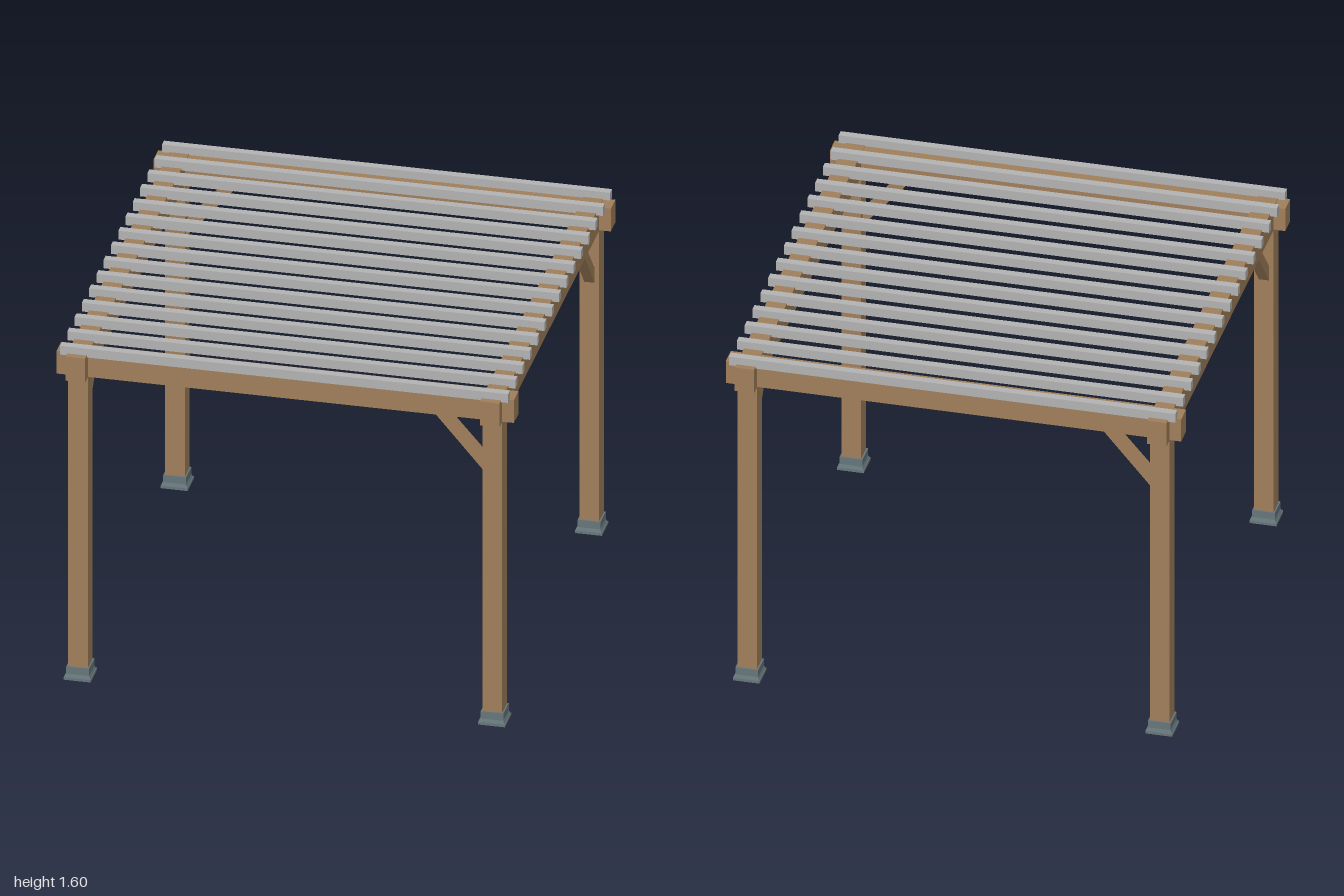
import * as THREE from 'three';

const POST = 0.906;      // post centre offset on x and z
const W = 0.086;         // timber width
const BEAM_Y = 1.458;    // underside of the beams

export function createModel() {
  const wood = new THREE.MeshStandardMaterial({ color: 0xa07f5a });
  wood.name = 'timber brown';
  const grey = new THREE.MeshStandardMaterial({ color: 0xb2b2b2 });
  grey.name = 'slat grey';
  const slate = new THREE.MeshStandardMaterial({ color: 0x66757a });
  slate.name = 'base slate';

  const model = new THREE.Group();
  model.name = 'pergola';

  const add = (parent, name, geometry, material, x = 0, y = 0, z = 0) => {
    const mesh = new THREE.Mesh(geometry, material);
    mesh.name = name;
    mesh.position.set(x, y, z);
    parent.add(mesh);
    return mesh;
  };
  const box = (parent, name, material, w, y0, y1, d, x = 0, z = 0) =>
    add(parent, name, new THREE.BoxGeometry(w, y1 - y0, d), material, x, (y0 + y1) / 2, z);

  // Square tapered block, widths given across the flats
  const taper = (top, bottom, h) => {
    const g = new THREE.CylinderGeometry(top * Math.SQRT1_2, bottom * Math.SQRT1_2, h, 4).toNonIndexed();
    g.rotateY(Math.PI / 4);
    g.computeVertexNormals();
    return g;
  };

  // Diagonal brace: a slanted timber cut flush with post and beam
  const thick = 0.045;
  const inner = POST - W / 2;
  const profile = new THREE.Shape([
    new THREE.Vector2(inner, 1.203),
    new THREE.Vector2(inner, 1.275),
    new THREE.Vector2(0.703, BEAM_Y),
    new THREE.Vector2(0.645, BEAM_Y),
  ]);
  const braceGeo = new THREE.ExtrudeGeometry(profile, { depth: thick, bevelEnabled: false });
  braceGeo.translate(0, 0, POST - thick / 2);

  // Four corners: post, stepped base and the brace of each frame side
  for (let i = 0; i < 4; i++) {
    const corner = new THREE.Group();
    corner.name = 'corner' + (i + 1);
    corner.rotation.y = (i * Math.PI) / 2;
    box(corner, 'post', wood, W, 0.01, BEAM_Y, W, POST, POST);
    box(corner, 'baseFlange', slate, 0.118, 0, 0.012, 0.118, POST, POST);
    add(corner, 'baseSkirt', taper(0.1, 0.112, 0.014), slate, POST, 0.019, POST);
    box(corner, 'baseCollar', slate, 0.1, 0.02, 0.06, 0.1, POST, POST);
    add(corner, 'braceRight', braceGeo, wood);
    const other = add(corner, 'braceLeft', braceGeo, wood);
    other.rotation.y = Math.PI / 2;
    // Swing the second brace onto the other face of this post
    other.position.set(0, 0, 0);
    other.geometry = braceGeo.clone().rotateZ(Math.PI).rotateX(Math.PI);
    model.add(corner);
  }

  // Beams crossing at the corners
  for (const s of [-1, 1]) {
    box(model, 'crossBeam', wood, 2, BEAM_Y, 1.567, W, 0, s * POST);
    box(model, 'sideBeam', wood, W, BEAM_Y - 0.002, 1.571, 2, s * POST, 0);
  }

  // Roof slats
  const count = 15;
  for (let i = 0; i < count; i++) {
    const z = -0.954 + (i * 1.906) / (count - 1);
    box(model, 'roofSlat', grey, 1.96, 1.562, 1.604, 0.036, 0, z);
  }
  return model;
}
